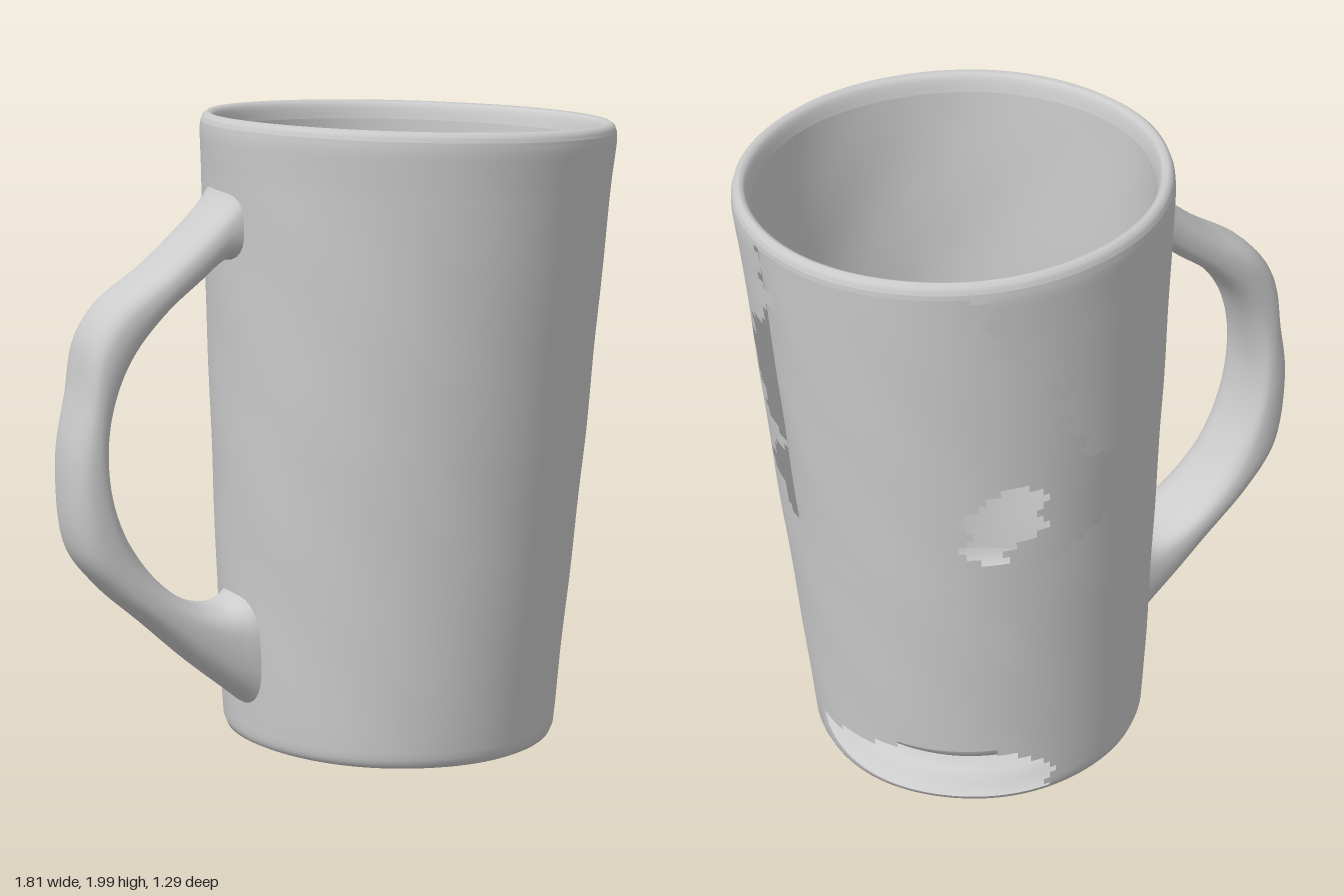
import * as THREE from 'three';

const material = new THREE.MeshStandardMaterial({ color: 0xcccccc, side: THREE.DoubleSide });
const SEG = 160;

// Leaning, slightly tilted frame of the mug body
function place(r, a, y) {
  const t = y / 2;
  const dx = r * Math.cos(a);
  return [0.2 + 0.055 * t + dx, y - 0.03 * dx, -0.02 + 0.02 * t - r * Math.sin(a)];
}

// Piecewise linear lookup in rows of [key, value...]
function lookup(rows, key, column) {
  for (let i = 1; i < rows.length; i++) {
    if (key <= rows[i][0]) {
      const f = (key - rows[i - 1][0]) / (rows[i][0] - rows[i - 1][0]);
      return THREE.MathUtils.lerp(rows[i - 1][column], rows[i][column], f);
    }
  }
  return rows[rows.length - 1][column];
}

function meshFrom(name, positions, index) {
  const g = new THREE.BufferGeometry();
  g.setAttribute('position', new THREE.Float32BufferAttribute(positions, 3));
  g.setIndex(index);
  g.computeVertexNormals();
  const mesh = new THREE.Mesh(g, material);
  mesh.name = name;
  return mesh;
}

// Rings of a profile [radius, height], leaving out cells inside a broken area
function revolve(name, profile, step, broken = () => false) {
  const rows = [];
  for (let i = 0; i < profile.length - 1; i++) {
    const [r0, y0] = profile[i], [r1, y1] = profile[i + 1];
    const n = Math.max(1, Math.ceil(Math.hypot(r1 - r0, y1 - y0) / step));
    for (let k = 0; k < n; k++) rows.push([r0 + (r1 - r0) * k / n, y0 + (y1 - y0) * k / n]);
  }
  rows.push(profile[profile.length - 1]);
  const positions = [], index = [];
  rows.forEach(([r, y]) => {
    for (let j = 0; j < SEG; j++) {
      const a = j / SEG * Math.PI * 2;
      // faint hand-formed unevenness
      const wobble = 0.002 * Math.sin(5 * a + 4 * y) * Math.sin(9 * y + 2 * a);
      positions.push(...place(r > 0.01 ? r + wobble : r, a, y));
    }
  });
  for (let i = 0; i < rows.length - 1; i++) {
    for (let j = 0; j < SEG; j++) {
      let deg = (j + 0.5) / SEG * 360;
      if (deg > 180) deg -= 360;
      if (broken(deg, (rows[i][1] + rows[i + 1][1]) / 2)) continue;
      const k = (j + 1) % SEG;
      const a = i * SEG + j, b = i * SEG + k, c = a + SEG, d = b + SEG;
      index.push(a, b, d, a, d, c);
    }
  }
  return meshFrom(name, positions, index);
}

// Broken area of the outer skin: height, first angle, last angle
const outerBreak = [
  [0.85, 20, 40], [0.92, 8, 75], [1.0, 0, 98], [1.1, -16, 108], [1.18, -8, 118],
  [1.25, 0, 105], [1.4, -14, 92], [1.55, -19, 88], [1.68, -2, 80], [1.8, 5, 74], [1.93, 0, 66],
];
const baseBreak = [[0.04, -5, 82], [0.1, -10, 88], [0.16, -8, 84], [0.19, 20, 78], [0.25, 35, 55]];
const innerBreak = [[0.95, 66, 72], [1.05, 58, 82], [1.15, 62, 88], [1.22, 74, 82]];

function inside(table, deg, y) {
  if (y < table[0][0] || y > table[table.length - 1][0]) return false;
  const ragged = 2.5 * Math.sin(y * 61) + 2 * Math.sin(y * 37);
  return deg > lookup(table, y, 1) + ragged && deg < lookup(table, y, 2) + ragged;
}

// Handle lofted between its outer and inner edge curves
function makeHandle() {
  const curve = (pts) => new THREE.CatmullRomCurve3(pts.map(([x, y]) => new THREE.Vector3(x, y, 0)));
  const outer = curve([[-0.35, 1.84], [-0.4, 1.76], [-0.48, 1.68], [-0.61, 1.57], [-0.77, 1.46], [-0.84, 1.36],
    [-0.87, 1.2], [-0.91, 1.0], [-0.89, 0.72], [-0.8, 0.59], [-0.65, 0.45], [-0.5, 0.31], [-0.38, 0.21], [-0.31, 0.15]]);
  const inner = curve([[-0.35, 1.56], [-0.4, 1.57], [-0.5, 1.5], [-0.6, 1.42], [-0.7, 1.3], [-0.76, 1.17],
    [-0.79, 1.0], [-0.76, 0.82], [-0.68, 0.67], [-0.58, 0.56], [-0.48, 0.5], [-0.4, 0.49], [-0.36, 0.51], [-0.31, 0.56]]);
  const N = 90, M = 28, positions = [], index = [];
  for (let i = 0; i <= N; i++) {
    const t = i / N;
    const o = outer.getPoint(t), p = inner.getPoint(t);
    const ends = Math.pow(Math.abs(2 * t - 1), 3);
    const half = 0.128 + 0.025 * ends;
    for (let j = 0; j < M; j++) {
      const a = j / M * Math.PI * 2;
      const c = Math.cos(a), s = Math.sin(a);
      const u = Math.sign(c) * Math.pow(Math.abs(c), 0.75);
      const v = Math.sign(s) * Math.pow(Math.abs(s), 0.75);
      const f = (1 + u) / 2;
      positions.push(p.x + (o.x - p.x) * f, p.y + (o.y - p.y) * f, -0.012 - 0.008 * ends + half * v);
      if (i < N) {
        const k = (j + 1) % M;
        const q = i * M;
        index.push(q + j, q + M + k, q + k, q + j, q + M + j, q + M + k);
      }
    }
  }
  return meshFrom('handle', positions, index);
}

export function createModel() {
  const mug = new THREE.Group();
  mug.name = 'mug';
  mug.add(
    revolve('outerWall', [[0.505, 0.022], [0.522, 0.03], [0.532, 0.055], [0.537, 0.12], [0.593, 1.0],
      [0.638, 1.8], [0.647, 1.92], [0.645, 1.95]], 0.025,
      (d, y) => inside(outerBreak, d, y) || inside(baseBreak, d, y)),
    revolve('rim', [[0.645, 1.95], [0.638, 1.97], [0.625, 1.98], [0.61, 1.974], [0.6, 1.955], [0.592, 1.92]], 0.02),
    revolve('innerWall', [[0.592, 1.92], [0.545, 1.0], [0.505, 0.24]], 0.025,
      (d, y) => inside(innerBreak, d, y)),
    revolve('floor', [[0.505, 0.24], [0.498, 0.2], [0.475, 0.165], [0.43, 0.148], [0, 0.14]], 0.08),
    revolve('foot', [[0, 0.1], [0.4, 0.092], [0.445, 0.08], [0.472, 0.055], [0.485, 0.03], [0.505, 0.022]], 0.08),
    makeHandle(),
  );
  return mug;
}
